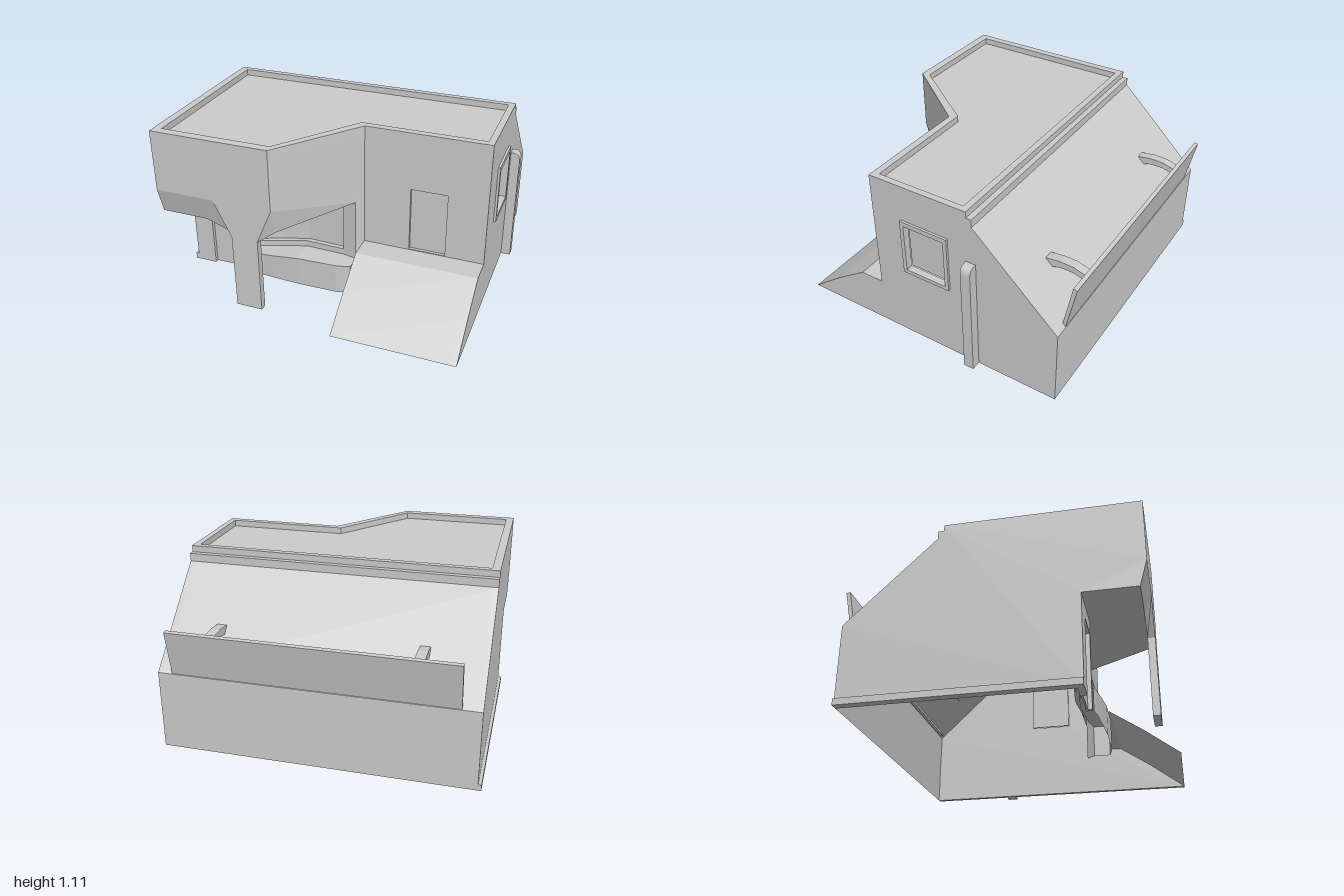
import * as THREE from 'three';

const material = new THREE.MeshStandardMaterial({ color: 0xcccccc, flatShading: true, side: THREE.DoubleSide });

export function createModel() {
  const house = new THREE.Group();
  house.name = 'house';
  const add = (name, geometry, x = 0, y = 0, z = 0) => {
    const mesh = new THREE.Mesh(geometry, material);
    mesh.name = name;
    mesh.position.set(x, y, z);
    house.add(mesh);
    return mesh;
  };
  const box = (name, x0, x1, y0, y1, z0, z1) =>
    add(name, new THREE.BoxGeometry(x1 - x0, y1 - y0, z1 - z0), (x0 + x1) / 2, (y0 + y1) / 2, (z0 + z1) / 2);

  // surface through rows of [x, y, z] points, all rows equally long
  const loft = (name, rows) => {
    const out = [];
    for (let r = 0; r + 1 < rows.length; r++) {
      for (let i = 0; i + 1 < rows[r].length; i++) {
        const a = rows[r][i], b = rows[r][i + 1], c = rows[r + 1][i + 1], d = rows[r + 1][i];
        out.push(...a, ...b, ...c, ...a, ...c, ...d);
      }
    }
    const g = new THREE.BufferGeometry();
    g.setAttribute('position', new THREE.Float32BufferAttribute(out, 3));
    g.computeVertexNormals();
    return add(name, g);
  };

  const shapeOf = (points, hole) => {
    const toV = p => new THREE.Vector2(...p);
    const s = new THREE.Shape(points.map(toV));
    if (hole) s.holes.push(new THREE.Path(hole.map(toV)));
    return s;
  };
  const rect = (a0, a1, b0, b1) => [[a0, b0], [a1, b0], [a1, b1], [a0, b1]];
  const slab = (points, depth, hole) =>
    new THREE.ExtrudeGeometry(shapeOf(points, hole), { depth, bevelEnabled: false });
  // outline in (z, y), thickness running towards -x
  const sideSlab = (name, x, points, depth, hole) =>
    add(name, slab(points, depth, hole).rotateY(-Math.PI / 2), x);

  const L = -0.98, R = 0.94, T = 0.03;

  // side walls; the right one carries the ramp's flank
  const back = [[-0.31, 1.11], [-0.31, 1.07], [-0.345, 1.07], [-0.345, 1.02], [-0.89, 0.5], [-0.89, 0]];
  sideSlab('rightWall', R,
    [[0.945, 0], [0.72, 0.17], [0.505, 0.315], [0.35, 0.315], [0.35, 1.11], ...back],
    T, rect(-0.155, 0.12, 0.525, 0.845));
  sideSlab('leftWall', L + T, [[0.49, 0], [0.49, 0.555], [0.81, 0.555], [0.855, 0.72], [0.855, 1.11], ...back], T);

  // stepped cornice, sloping rear roof and rear wall
  loft('rearRoofAndWall', back.map(([z, y]) => [[L, y, z], [R, y, z]]));

  // flat roof with parapet
  const plan = [[L, -0.31], [L, 0.855], [-0.22, 0.855], [0.17, 0.35], [R, 0.35], [R, -0.31]];
  const inner = [[-0.93, -0.27], [-0.93, 0.8], [-0.23, 0.8], [0.135, 0.305], [0.9, 0.305], [0.9, -0.27]];
  add('parapet', slab(plan, 0.04, inner).rotateX(Math.PI / 2), 0, 1.11);
  add('roofDeck', new THREE.ShapeGeometry(shapeOf(plan)).rotateX(Math.PI / 2), 0, 1.07);

  // overhanging upper wall
  loft('upperWall', [1.11, 0.72].map(y => plan.slice(1, 4).map(([x, z]) => [x, y, z])));
  loft('leftOverhangBand', [
    [[L, 0.72, 0.855], [-0.6, 0.72, 0.855]],
    [[L, 0.555, 0.81], [-0.68, 0.555, 0.81]]]);
  loft('diagonalOverhangBand', [
    [[-0.22, 0.72, 0.855], [0.17, 0.72, 0.35]],
    [[-0.22, 0.555, 0.81], [0.13, 0.61, 0.4]]]);

  // flared pillar head and pillar
  const front = [[-0.6, 0.72, 0.855], [-0.49, 0.49, 0.855], [-0.32, 0.49, 0.855], [-0.22, 0.72, 0.855]];
  const rear = [[-0.68, 0.555, 0.81], [-0.49, 0.49, 0.81], [-0.32, 0.49, 0.81], [-0.22, 0.555, 0.81]];
  loft('pillarHeadFront', [[front[0], front[3]], [front[1], front[2]]]);
  loft('pillarHeadSides', [front, rear]);
  loft('pillarHeadBack', [[rear[0], rear[3]], [rear[1], rear[2]]]);
  box('pillar', -0.49, -0.32, 0, 0.49, 0.81, 0.855);

  // bay columns: x, wall z, bench z, bench top, sill, head, ceiling, recess
  const bay = [
    [-0.63, 0.45, 0.495, 0.14, 0.18, 0.44, 0.555, 0],
    [-0.57, 0.42, 0.505, 0.15, 0.19, 0.445, 0.555, 0],
    [-0.57, 0.42, 0.505, 0.15, 0.19, 0.445, 0.555, 0.03],
    [-0.4, 0.385, 0.518, 0.17, 0.21, 0.495, 0.555, 0.03],
    [-0.22, 0.365, 0.526, 0.195, 0.235, 0.54, 0.565, 0.03],
    [0.04, 0.38, 0.522, 0.2, 0.24, 0.56, 0.6, 0.03],
    [0.04, 0.38, 0.522, 0.2, 0.24, 0.56, 0.6, 0],
    [0.13, 0.4, 0.5, 0.2, 0.24, 0.57, 0.61, 0]];
  loft('bayWindowAndBench', bay.map(([x, z, zb, yb, sill, head, top, d]) => [
    [x, 0, zb], [x, yb, zb], [x, yb, z], [x, sill, z], [x, sill, z - d],
    [x, head, z - d], [x, head, z], [x, top, z]]));
  loft('benchEnd', [[[0.13, 0, 0.4], [0.13, 0, 0.5]], [[0.13, 0.2, 0.4], [0.13, 0.2, 0.5]]]);
  loft('bayReturn', [
    [[0.13, 0, 0.4], [0.17, 0, 0.35]],
    [[0.13, 0.61, 0.4], [0.17, 0.72, 0.35]]]);

  // underside of the overhang
  const soffitOuter = [[L, 0.555, 0.81], [-0.63, 0.555, 0.81], [-0.57, 0.555, 0.81], [-0.4, 0.555, 0.81],
    [-0.22, 0.555, 0.81], [-0.05, 0.582, 0.61], [0.13, 0.61, 0.4]];
  const soffitInner = [[L, 0.555, 0.49], [-0.63, 0.555, 0.49],
    ...[1, 3, 4, 5, 7].map(i => [bay[i][0], bay[i][6], bay[i][1]])];
  loft('overhangSoffit', [soffitOuter, soffitInner]);

  // ground floor wall with recessed door
  add('groundDoorWall', slab([[L, 0], [-0.85, 0], [-0.85, 0.47], [-0.655, 0.47], [-0.655, 0],
    [-0.63, 0], [-0.63, 0.555], [L, 0.555]], 0.04), 0, 0, 0.45);
  box('groundDoor', -0.85, -0.655, 0, 0.47, 0.455, 0.465);

  // upper entrance wall with recessed door
  add('entranceWall', slab(rect(0.17, R, 0.315, 1.11), T, rect(0.465, 0.695, 0.32, 0.74)), 0, 0, 0.35 - T);
  box('entranceDoor', 0.465, 0.695, 0.32, 0.74, 0.32, 0.33);

  // ramp and landing
  loft('ramp', [[0.945, 0], [0.72, 0.17], [0.505, 0.315], [0.35, 0.315]]
    .map(([z, y]) => [[0.17, y, z], [R, y, z]]));

  // side window
  sideSlab('sideWindowFrame', 0.955, rect(-0.18, 0.145, 0.5, 0.875), 0.02, rect(-0.155, 0.12, 0.525, 0.845));
  box('sideWindowPane', 0.895, 0.905, 0.525, 0.845, -0.155, 0.12);

  // side pipe with rounded top, and plinth
  const pipe = new THREE.Shape();
  pipe.moveTo(0.93, 0).lineTo(1, 0).lineTo(1, 0.71);
  pipe.quadraticCurveTo(1, 0.77, 0.96, 0.77).lineTo(0.93, 0.77);
  add('sidePipe', new THREE.ExtrudeGeometry(pipe, { depth: 0.065, bevelEnabled: false, curveSegments: 5 }), 0, 0, -0.365);
  box('leftPlinth', -1, L, 0, 0.04, -0.89, 0.49);

  // leaning rear board on curved brackets
  sideSlab('rearBoard', 0.85, [[-0.865, 0.5], [-0.92, 0.795], [-0.945, 0.79], [-0.887, 0.5]], 1.715);
  const bracket = [[-0.64, 0.74], [-0.73, 0.752], [-0.82, 0.748], [-0.91, 0.72],
    [-0.9, 0.685], [-0.81, 0.71], [-0.73, 0.708], [-0.68, 0.695]];
  for (const x of [-0.585, 0.65]) sideSlab('boardBracket', x, bracket, 0.06);

  return house;
}
